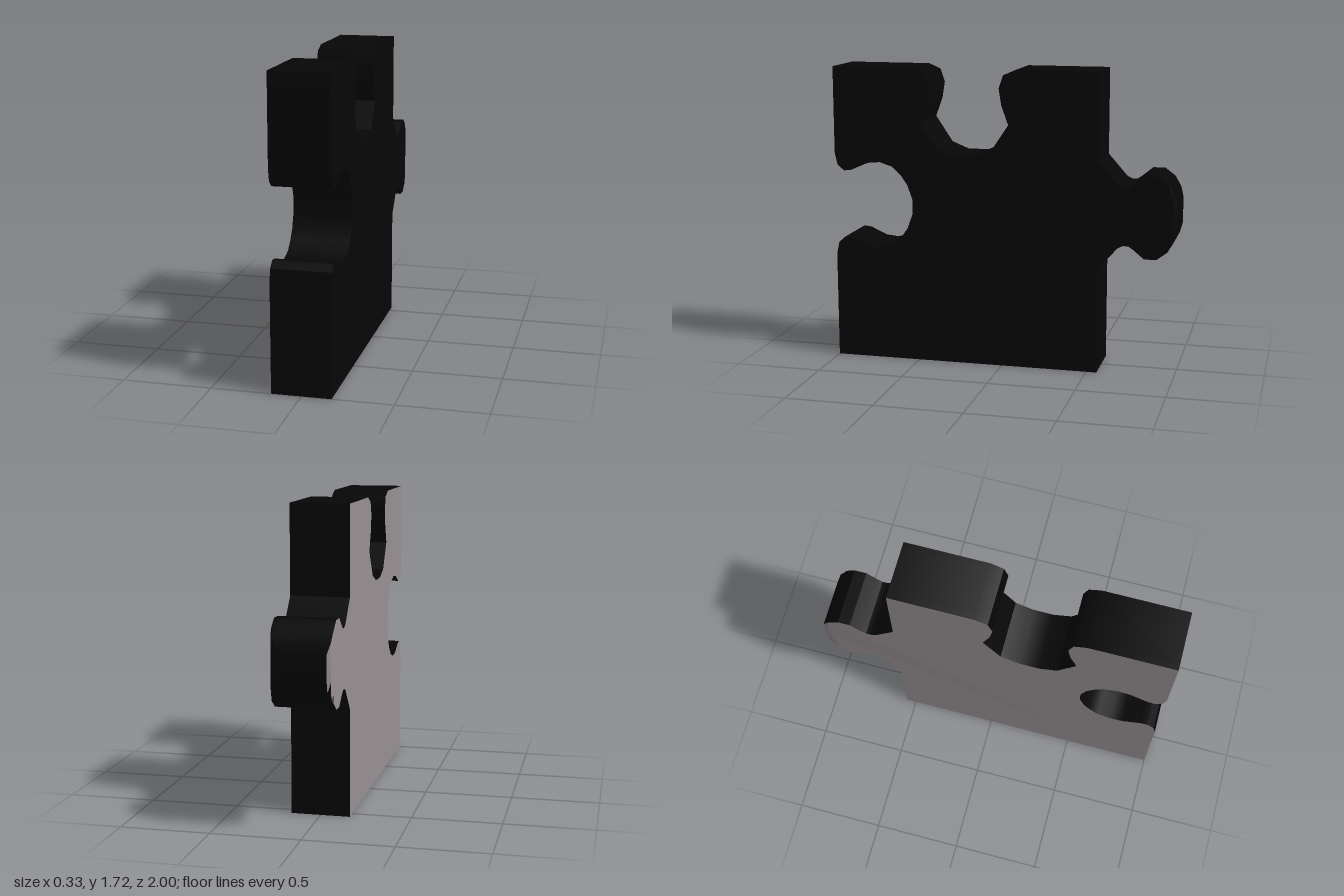
import * as THREE from 'three';
import { toCreasedNormals } from 'three/addons/utils/BufferGeometryUtils.js';

const HALF = 0.165;

// Half a profile followed by its reflection across a level line (y = c) or an upright line (u = c)
const mirrorY = (pts, c) => [...pts, ...pts.map(([u, y]) => [u, 2 * c - y]).reverse()];
const mirrorU = (pts, c) => [...pts, ...pts.map(([u, y]) => [2 * c - u, y]).reverse()];

// Outline of the piece; u runs towards the back
function pieceOutline() {
  const tab = mirrorY([[0.56, 0.61], [0.67, 0.735], [0.7, 0.75], [0.73, 0.75], [0.76, 0.73],
    [0.82, 0.68], [0.89, 0.68], [0.95, 0.725], [0.985, 0.785], [1, 0.84]], 0.915);
  const topSocket = mirrorU([[0.08, 1.72], [0.01, 1.69], [-0.015, 1.615], [0, 1.52],
    [0.04, 1.41], [-0.06, 1.26], [-0.16, 1.22]], -0.22);
  const frontSocket = mirrorY([[-1, 1.22], [-0.985, 1.15], [-0.945, 1.115], [-0.9, 1.12],
    [-0.8, 1.165], [-0.725, 1.172], [-0.65, 1.148], [-0.595, 1.095], [-0.56, 1.045],
    [-0.53, 0.96]], 0.918);
  const pts = [[-1, 0], [0.56, 0], ...tab, [0.56, 1.72], ...topSocket, [-1, 1.72], ...frontSocket];
  return new THREE.Shape(pts.map(([u, y]) => new THREE.Vector2(u, y)));
}

export function createModel() {
  const group = new THREE.Group();
  group.name = 'puzzlePiece';

  // Layers across the thickness: [x, how far back the tab tip may reach]
  const layers = [[-HALF, 0.965], [-0.158, 0.985], [-0.14, 1], [0.14, 1], [0.158, 0.985], [HALF, 0.965]];
  const steps = layers.length - 1;
  const geo = new THREE.ExtrudeGeometry(pieceOutline(), { depth: steps, steps, bevelEnabled: false });
  const p = geo.attributes.position;
  for (let i = 0; i < p.count; i++) {
    const [x, reach] = layers[Math.round(p.getZ(i))];
    p.setXYZ(i, x, p.getY(i), -Math.min(p.getX(i), reach));
  }

  // Sort triangles into the pale face (with its rounded tab edge) and the dark rest
  const dark = [], pale = [];
  const tri = new THREE.Triangle(), n = new THREE.Vector3();
  for (let i = 0; i < p.count; i += 3) {
    tri.setFromAttributeAndIndices(p, i, i + 1, i + 2);
    if (tri.getArea() < 1e-8) continue;
    tri.getNormal(n);
    const target = n.x < -0.3 ? pale : dark;
    for (const v of [tri.a, tri.b, tri.c]) target.push(v.x, v.y, v.z);
  }

  const add = (name, positions, color) => {
    const g = new THREE.BufferGeometry();
    g.setAttribute('position', new THREE.Float32BufferAttribute(positions, 3));
    g.computeVertexNormals();
    const mesh = new THREE.Mesh(toCreasedNormals(g, 0.5), new THREE.MeshStandardMaterial({ color }));
    mesh.name = name;
    group.add(mesh);
  };
  add('body', dark, 0x060606);
  add('paleFace', pale, 0x9a9194);
  return group;
}
